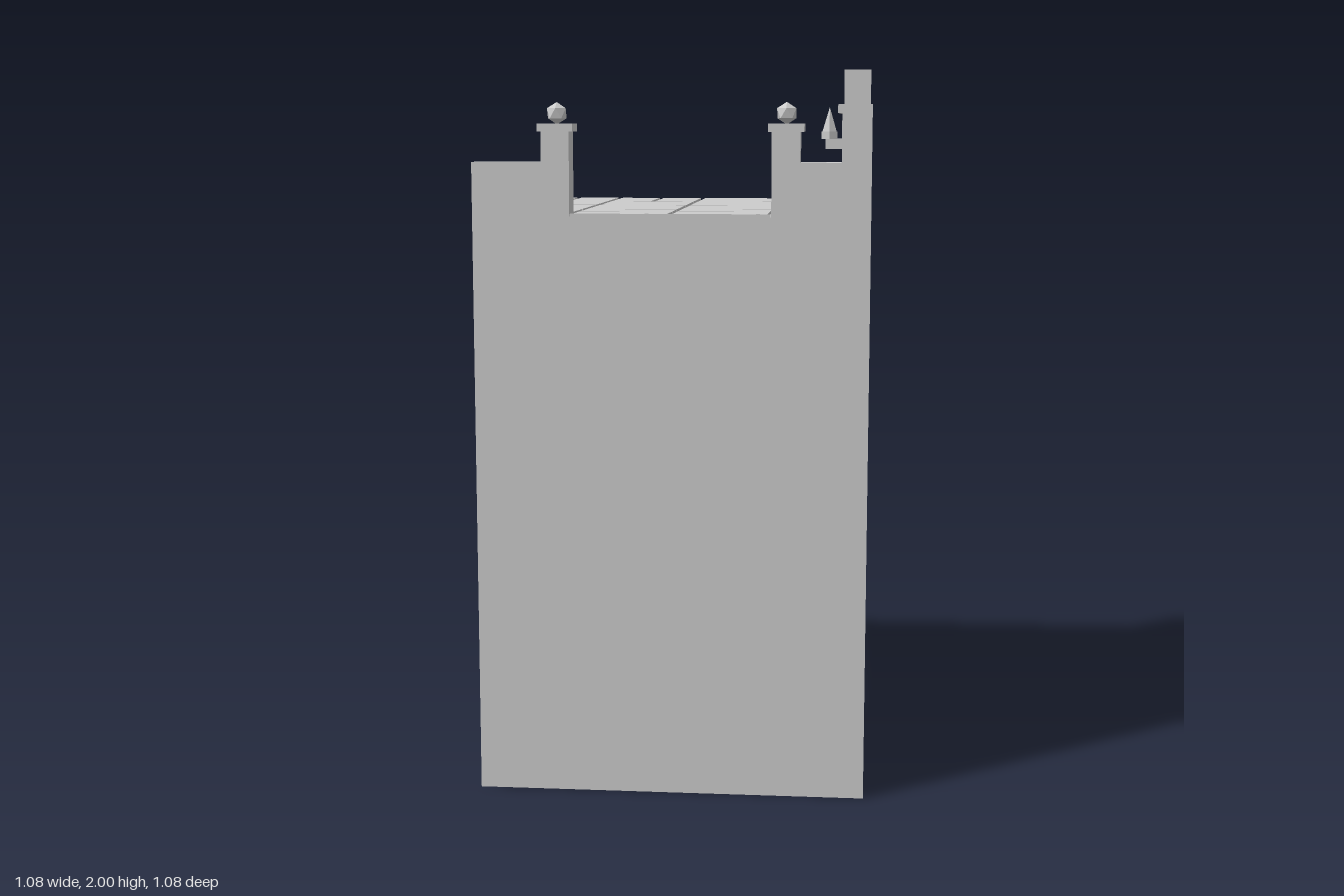
import * as THREE from 'three';

const H = 0.538;      // half width of the block
const FLOOR = 1.61;   // underside of the paving
const PAVED = 1.618;  // top of the paving

export function createModel() {
  const model = new THREE.Group();
  model.name = 'castleTowerCorner';
  const stone = new THREE.MeshStandardMaterial({ color: 0xcccccc, side: THREE.DoubleSide, flatShading: true });
  stone.name = 'stone';

  const add = (name, geometry, parent = model) => {
    const mesh = new THREE.Mesh(geometry, stone);
    mesh.name = name;
    parent.add(mesh);
    return mesh;
  };
  // Box given by its limits on each axis
  const block = (name, x0, x1, y0, y1, z0, z1, parent) => {
    const mesh = add(name, new THREE.BoxGeometry(x1 - x0, y1 - y0, z1 - z0), parent);
    mesh.position.set((x0 + x1) / 2, (y0 + y1) / 2, (z0 + z1) / 2);
    return mesh;
  };

  // Outer wall sheets and floor sheet
  add('frontWall', new THREE.PlaneGeometry(2 * H, FLOOR)).position.set(0, FLOOR / 2, H);
  const side = add('sideWall', new THREE.PlaneGeometry(2 * H, FLOOR));
  side.position.set(H, FLOOR / 2, 0);
  side.rotation.y = Math.PI / 2;
  const floor = add('floor', new THREE.PlaneGeometry(2 * H, 2 * H));
  floor.position.y = FLOOR;
  floor.rotation.x = -Math.PI / 2;

  // Paving: a 4 x 4 grid with some slabs halved in x or z
  const paving = new THREE.Group();
  paving.name = 'paving';
  model.add(paving);
  const pitch = H / 2, gap = 0.007;
  const splits = { '0,0': 'x', '1,0': 'x', '1,3': 'z', '2,3': 'z', '3,3': 'x' };
  for (let i = 0; i < 4; i++) {
    for (let j = 0; j < 4; j++) {
      const split = splits[`${i},${j}`];
      const nx = split === 'x' ? 2 : 1, nz = split === 'z' ? 2 : 1;
      for (let a = 0; a < nx; a++) {
        for (let b = 0; b < nz; b++) {
          const x = -H + (i + a / nx) * pitch, z = -H + (j + b / nz) * pitch;
          block('slab', x + gap, x + pitch / nx - gap, FLOOR, PAVED,
            z + gap, z + pitch / nz - gap, paving);
        }
      }
    }
  }
  block('doorSill', -0.27, 0.27, FLOOR, PAVED, H - 0.006, H);

  // High side parapet with coping and merlons
  block('sideParapet', 0.458, H, FLOOR, 1.885, -H, H);
  block('sideCoping', 0.447, H, 1.885, 1.908, -H, H);
  for (let i = 0; i < 4; i++) {
    const z = -0.405 + i * 0.27;
    block('merlon', 0.462, 0.533, 1.908, 2, z - 0.061, z + 0.061);
  }

  // Low front parapets either side of the opening
  for (const [x0, x1] of [[-H, -0.34], [0.34, 0.46]]) {
    block('frontParapet', x0, x1, FLOOR, 1.735, 0.468, H);
    block('frontCoping', x0, x1, 1.735, 1.755, 0.459, H);
  }

  // Posts with caps and faceted balls
  for (const s of [-1, 1]) {
    const post = new THREE.Group();
    post.name = s < 0 ? 'rightPost' : 'leftPost';
    post.position.x = s * 0.31;
    model.add(post);
    block('postShaft', -0.038, 0.038, FLOOR, 1.836, 0.46, H, post);
    block('postCap', -0.048, 0.048, 1.836, 1.858, 0.448, H, post);
    const ball = add('postBall', new THREE.IcosahedronGeometry(0.03, 0)
      .rotateX(-Math.atan((1 + Math.sqrt(5)) / 2)), post);
    ball.position.set(0, 1.885, 0.495);
  }

  // Wall torch on the inner face of the side parapet
  const torch = new THREE.Group();
  torch.name = 'torch';
  torch.position.set(0.419, 0, 0.212);
  model.add(torch);
  block('torchBracket', -0.011, 0.045, 1.787, 1.815, -0.019, 0.019, torch);
  add('torchBowl', new THREE.CylinderGeometry(0.026, 0.026, 0.02, 6), torch).position.y = 1.825;
  add('torchFlame', new THREE.ConeGeometry(0.021, 0.068, 5), torch).position.y = 1.869;

  return model;
}
